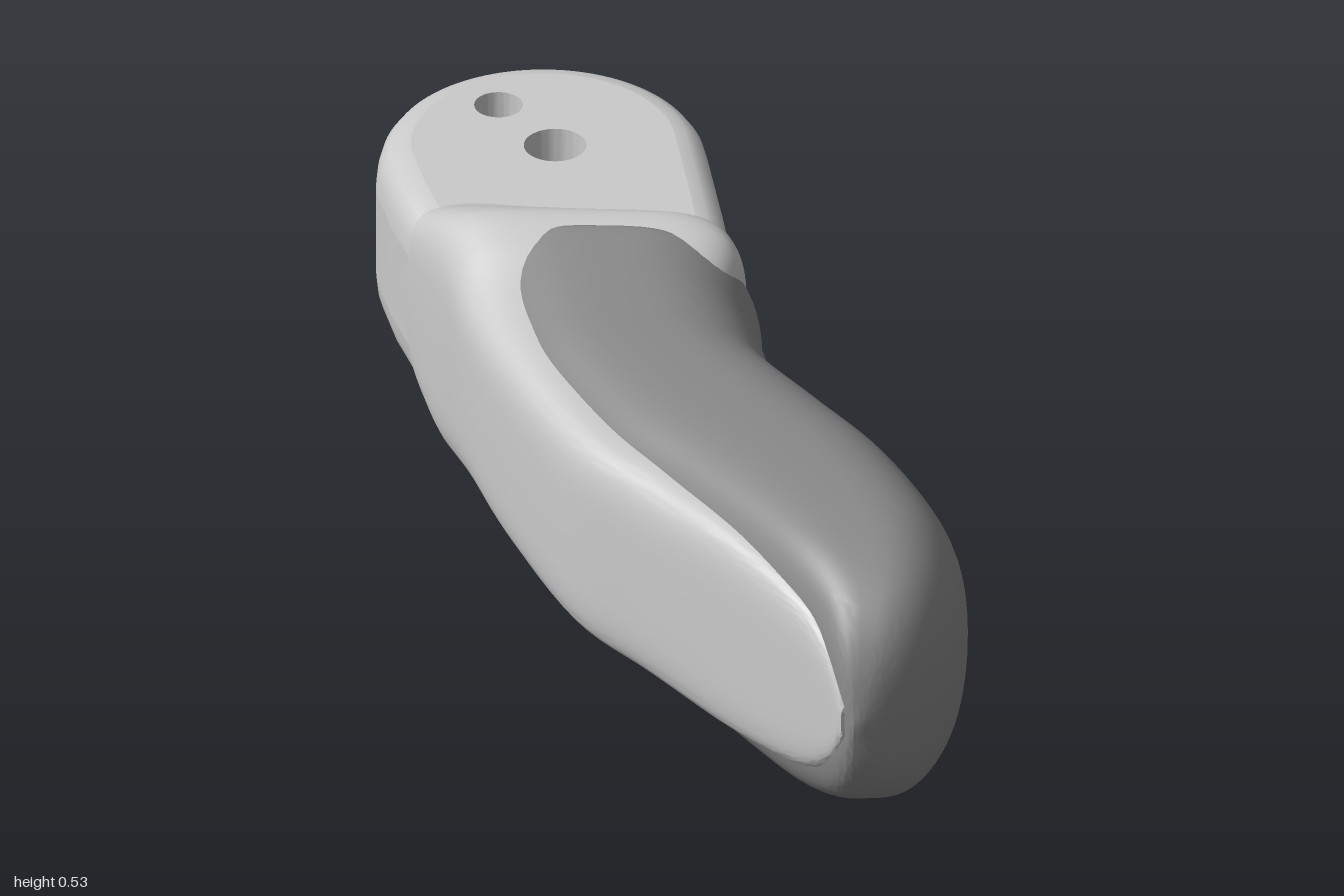
import * as THREE from 'three';
import { toCreasedNormals } from 'three/addons/utils/BufferGeometryUtils.js';

const CY = 0.267;      // height of the symmetry plane
const SLOT = 0.087;    // half height of the slot
const PLATE = 0.172;   // half height over both fork plates
const metal = new THREE.MeshStandardMaterial({ color: 0xcccccc });
const rubber = new THREE.MeshStandardMaterial({ color: 0x8a8a8a });

// Joins closed rings of equal length into a surface, optionally capped
function skin(rings, caps) {
  const n = rings[0].length, pos = [], idx = [];
  rings.forEach(r => r.forEach(p => pos.push(p.x, p.y, p.z)));
  for (let j = 0; j < rings.length - 1; j++) for (let i = 0; i < n; i++) {
    const a = j * n + i, b = j * n + (i + 1) % n;
    idx.push(a, b, a + n, b, b + n, a + n);
  }
  if (caps) [0, rings.length - 1].forEach(j => {
    const c = new THREE.Vector3();
    rings[j].forEach(p => c.addScaledVector(p, 1 / n));
    const m = pos.length / 3;
    pos.push(c.x, c.y, c.z);
    for (let i = 0; i < n; i++) {
      const a = j * n + i, b = j * n + (i + 1) % n;
      if (j) idx.push(a, b, m); else idx.push(b, a, m);
    }
  });
  const g = new THREE.BufferGeometry();
  g.setAttribute('position', new THREE.Float32BufferAttribute(pos, 3));
  g.setIndex(idx);
  return toCreasedNormals(g, 0.6);
}

// Smooth interpolation through rows of numbers
function smoothRows(rows, steps) {
  const out = [], at = i => rows[Math.min(rows.length - 1, Math.max(0, i))];
  for (let i = 0; i < rows.length - 1; i++) for (let s = 0; s < steps; s++) {
    const t = s / steps;
    out.push(rows[i].map((b, k) => {
      const a = at(i - 1)[k], c = at(i + 1)[k], d = at(i + 2)[k];
      return b + 0.5 * t * (c - a + t * (2 * a - 5 * b + 4 * c - d + t * (3 * (b - c) + d - a)));
    }));
  }
  out.push(rows[rows.length - 1]);
  return out;
}

// Loft of upright sections: [left x, left z, right x, right z, half height]
function loft(rows, nLeft, nRight, steps = 6, seg = 64) {
  return skin(smoothRows(rows, steps).map(([xl, zl, xr, zr, h]) => {
    const ring = [];
    for (let i = 0; i < seg; i++) {
      const t = i / seg * Math.PI * 2, c = Math.cos(t), s = Math.sin(t);
      const e = 2 / (c < 0 ? nLeft : nRight);
      const u = 0.5 + 0.5 * Math.sign(c) * Math.abs(c) ** e;
      ring.push(new THREE.Vector3(xl + (xr - xl) * u,
        CY + h * Math.sign(s) * Math.abs(s) ** e, zl + (zr - zl) * u));
    }
    return ring;
  }), true);
}

// Flat slab from a plan outline of (x, -z) points
function slab(points, holes, y0, y1) {
  const shape = new THREE.Shape(points);
  holes.forEach(([x, z, r]) => shape.holes.push(new THREE.Path().absarc(x, -z, r, 0, Math.PI * 2, true)));
  const g = new THREE.ExtrudeGeometry(shape, { depth: y1 - y0, bevelEnabled: false, curveSegments: 24 });
  return toCreasedNormals(g.rotateX(-Math.PI / 2).translate(0, y0, 0), 0.6);
}

const arcPoint = a => new THREE.Vector2(-0.134 + 0.288 * Math.cos(a), 0.71 + 0.29 * Math.sin(a));
const V = (x, z) => new THREE.Vector2(x, -z);

export function createModel() {
  const model = new THREE.Group();
  const add = (name, geometry, material, parent = model) => {
    const mesh = new THREE.Mesh(geometry, material);
    mesh.name = name;
    parent.add(mesh);
  };

  // Metal core: shoulder behind the fork, then the spine under the grip
  add('core', loft([
    [-0.41, -0.6, 0.145, -0.42, 0.168],
    [-0.402, -0.55, 0.15, -0.39, 0.178],
    [-0.388, -0.46, 0.155, -0.35, 0.222],
    [-0.372, -0.38, 0.16, -0.31, 0.25],
    [-0.355, -0.3, 0.16, -0.25, 0.245],
    [-0.34, -0.18, 0.1, -0.14, 0.21],
    [-0.302, 0.02, 0, 0, 0.2],
    [-0.222, 0.3, 0, 0.25, 0.199],
    [-0.12, 0.48, 0.1, 0.42, 0.199],
    [-0.005, 0.67, 0.15, 0.65, 0.196],
    [0.095, 0.845, 0.2, 0.82, 0.168],
    [0.145, 0.935, 0.22, 0.92, 0.11],
    [0.17, 0.985, 0.21, 0.97, 0.03],
  ], 5, 5), metal);

  // Soft grip wrapped around the spine
  add('grip', loft([
    [-0.275, -0.335, 0.17, -0.255, 0.243],
    [-0.279, -0.315, 0.186, -0.24, 0.254],
    [-0.277, -0.2, 0.178, -0.16, 0.25],
    [-0.268, -0.08, 0.183, -0.08, 0.246],
    [-0.245, 0.06, 0.2, 0.04, 0.246],
    [-0.17, 0.29, 0.28, 0.2, 0.252],
    [-0.085, 0.46, 0.37, 0.4, 0.261],
    [0.015, 0.655, 0.424, 0.63, 0.266],
    [0.08, 0.785, 0.412, 0.78, 0.254],
    [0.13, 0.88, 0.37, 0.885, 0.218],
    [0.155, 0.94, 0.315, 0.95, 0.165],
    [0.175, 0.98, 0.255, 0.984, 0.095],
    [0.19, 1, 0.205, 1, 0.01],
  ], 4, 2.3), rubber);

  // Grip tab reaching between the fork plates
  const tab = new THREE.BoxGeometry(0.09, SLOT * 2, 0.2).translate(0.122, CY, -0.33);
  add('gripTab', tab, rubber);

  // Fork plates with rounded outer rims and two pin holes
  const outline = [];
  for (let i = 0; i <= 48; i++) outline.push(arcPoint(i / 48 * Math.PI));
  outline.push(V(-0.412, -0.6), V(-0.385, -0.45), V(-0.3, -0.36), V(-0.1, -0.31),
    V(0.1, -0.29), V(0.14, -0.31), V(0.154, -0.36), V(0.156, -0.5));
  const inset = d => outline.map((p, i) => {
    const n = outline.length;
    const t = outline[(i + 1) % n].clone().sub(outline[(i + n - 1) % n]).normalize();
    return new THREE.Vector2(p.x - t.y * d, p.y + t.x * d);
  });
  const rim = [[0.06, SLOT], [0, SLOT], [0.003, 0.115], [0.01, 0.14], [0.023, 0.158],
    [0.04, 0.168], [0.06, PLATE]];
  const holes = [[-0.115, -0.7, 0.054], [-0.195, -0.845, 0.042]];
  for (const [name, side] of [['upperFork', 1], ['lowerFork', -1]]) {
    const fork = new THREE.Group();
    fork.name = name;
    const profile = rim.map(([d, y]) => [d, CY + side * y]);
    if (side < 0) profile.reverse();
    add('plateRim', skin(profile.map(([d, y]) =>
      inset(d).map(p => new THREE.Vector3(p.x, y, -p.y)))), metal, fork);
    const ys = [CY + side * SLOT, CY + side * PLATE].sort((a, b) => a - b);
    add('plate', slab(inset(0.06), holes, ys[0], ys[1]), metal, fork);
    model.add(fork);
  }

  // Wall closing the slot on one side
  const wall = [];
  for (let i = 0; i <= 16; i++) wall.push(arcPoint(Math.PI * (0.69 + 0.31 * i / 16)));
  wall.push(V(-0.412, -0.6), V(-0.39, -0.48), V(0.14, -0.38), V(0.15, -0.42), V(-0.1, -0.505),
    V(-0.22, -0.565), V(-0.3, -0.63), V(-0.345, -0.7), V(-0.355, -0.78), V(-0.33, -0.87), V(-0.275, -0.95));
  add('slotWall', slab(wall, [], CY - SLOT, CY + SLOT), metal);

  return model;
}
